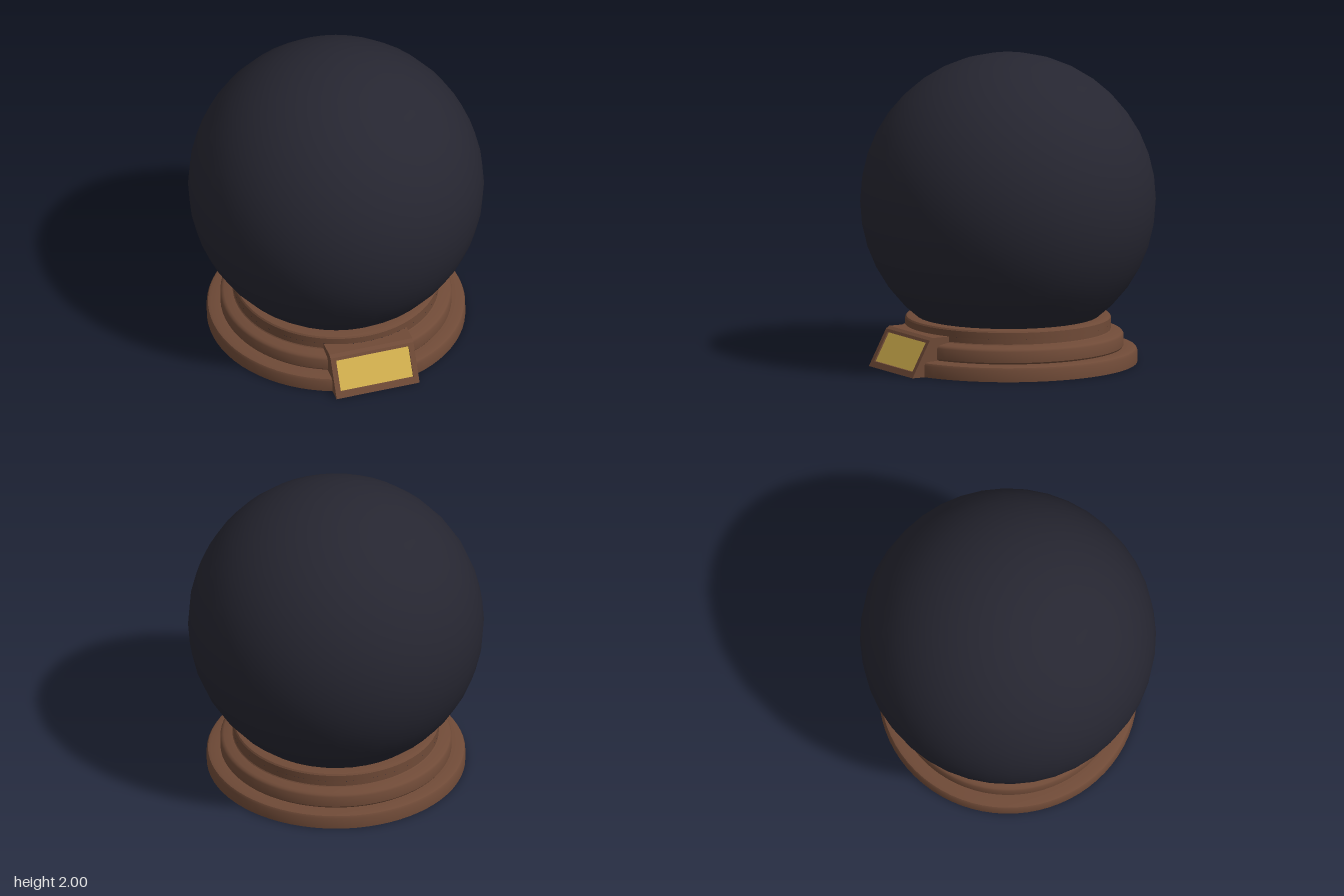
import * as THREE from 'three';
import { toCreasedNormals } from 'three/addons/utils/BufferGeometryUtils.js';

const glass = new THREE.MeshStandardMaterial({ color: 0x262631 });
glass.name = 'dark glass';
const wood = new THREE.MeshStandardMaterial({ color: 0x6f4a37, side: THREE.DoubleSide });
wood.name = 'brown wood';
const brass = new THREE.MeshStandardMaterial({ color: 0xd6b350, side: THREE.DoubleSide });
brass.name = 'brass';

const HALF = 0.28;   // half width of the plaque housing
const FRONT = 0.87;  // z of the housing's foot
const SLOPE = 0.545; // how far the housing leans back per unit of height

const points = (list) => list.map(([x, y]) => new THREE.Vector2(x, y));

function add(parent, name, geometry, material) {
  const mesh = new THREE.Mesh(geometry, material);
  mesh.name = name;
  parent.add(mesh);
  return mesh;
}

// Stepped profile of the hollow base, up to the top of the housing
const steps = [
  [0.83, 0], [0.83, 0.075], [0.822, 0.09], [0.805, 0.097], [0.735, 0.1],
  [0.742, 0.11], [0.742, 0.18], [0.734, 0.193], [0.72, 0.2], [0.665, 0.21],
  [0.66, 0.216], [0.66, 0.25],
];
const rim = [[0.66, 0.25], [0.66, 0.292], [0.653, 0.302], [0.64, 0.306], [0.585, 0.306]];

// Revolved shell that leaves a straight-sided gap for the plaque housing
function gappedLathe(profile, halfGap) {
  const segments = 64;
  const geometry = new THREE.LatheGeometry(points(profile), segments);
  const p = geometry.attributes.position;
  for (let i = 0; i < p.count; i++) {
    const t = Math.floor(i / profile.length) / segments;
    const r = profile[i % profile.length][0];
    const gap = Math.asin(halfGap / r);
    const angle = gap + t * (Math.PI * 2 - 2 * gap);
    p.setXYZ(i, r * Math.sin(angle), p.getY(i), r * Math.cos(angle));
  }
  return toCreasedNormals(geometry, 0.6);
}

// Leans an upright panel back along the housing's slope
function lean(geometry, z) {
  return geometry.applyMatrix4(new THREE.Matrix4().set(
    1, 0, 0, 0,
    0, 1, 0, 0,
    0, -SLOPE, 1, z,
    0, 0, 0, 1));
}

function rectangle(halfWidth, y0, y1) {
  return points([[-halfWidth, y0], [halfWidth, y0], [halfWidth, y1], [-halfWidth, y1]]);
}

function createPlaque() {
  const plaque = new THREE.Group();
  plaque.name = 'plaque';
  const topFront = FRONT - SLOPE * 0.235;

  // Side panels, cut to follow the steps of the base
  const outline = steps.map(([r, y]) => [Math.sqrt(r * r - HALF * HALF), y]);
  outline.push([0.72, 0.25], [topFront, 0.235], [FRONT, 0]);
  for (const side of [-1, 1]) {
    const geometry = new THREE.ShapeGeometry(new THREE.Shape(points(outline)));
    geometry.rotateY(-Math.PI / 2); // outline x becomes z
    const panel = add(plaque, side > 0 ? 'leftPanel' : 'rightPanel', geometry, wood);
    panel.position.x = side * HALF;
    if (side > 0) {
      // turn the faces outward on this side
      const index = geometry.index.array;
      for (let i = 0; i < index.length; i += 3) [index[i], index[i + 1]] = [index[i + 1], index[i]];
      geometry.computeVertexNormals();
    }
  }

  // Top panel, curved at the back to meet the rim
  const a = Math.asin(HALF / 0.66);
  const top = new THREE.Shape();
  top.moveTo(-HALF, -0.72);
  top.lineTo(HALF, -0.72);
  top.absarc(0, 0, 0.66, -Math.PI / 2 + a, -Math.PI / 2 - a, true);
  const topMesh = add(plaque, 'topPanel', new THREE.ShapeGeometry(top, 12).rotateX(-Math.PI / 2), wood);
  topMesh.position.y = 0.25;

  // Sloping edge between the top panel and the frame
  const run = topFront - 0.72, rise = 0.015;
  const bevel = new THREE.PlaneGeometry(HALF * 2, Math.hypot(run, rise));
  bevel.rotateX(-Math.atan2(run, rise));
  add(plaque, 'topBevel', bevel, wood).position.set(0, 0.2425, (topFront + 0.72) / 2);

  // Leaning frame with the brass plate set into it
  const frame = new THREE.Shape(rectangle(HALF, 0, 0.235));
  frame.holes.push(new THREE.Path(rectangle(0.245, 0.035, 0.217)));
  const depth = 0.015;
  const frameGeometry = new THREE.ExtrudeGeometry(frame, { depth, bevelEnabled: false });
  add(plaque, 'frame', lean(frameGeometry, FRONT - depth), wood);
  const plate = new THREE.ShapeGeometry(new THREE.Shape(rectangle(0.245, 0.035, 0.217)));
  add(plaque, 'brassPlate', lean(plate, FRONT - 0.012), brass);
  return plaque;
}

export function createModel() {
  const model = new THREE.Group();
  model.name = 'globeOnStand';

  // Globe
  const globe = add(model, 'globe', new THREE.SphereGeometry(0.95, 40, 20), glass);
  globe.position.y = 1.05;

  // Hollow stepped base
  const base = new THREE.Group();
  base.name = 'base';
  add(base, 'baseSteps', gappedLathe(steps, HALF), wood);
  add(base, 'baseRim', toCreasedNormals(new THREE.LatheGeometry(points(rim), 64), 0.6), wood);
  model.add(base);

  model.add(createPlaque());
  return model;
}
